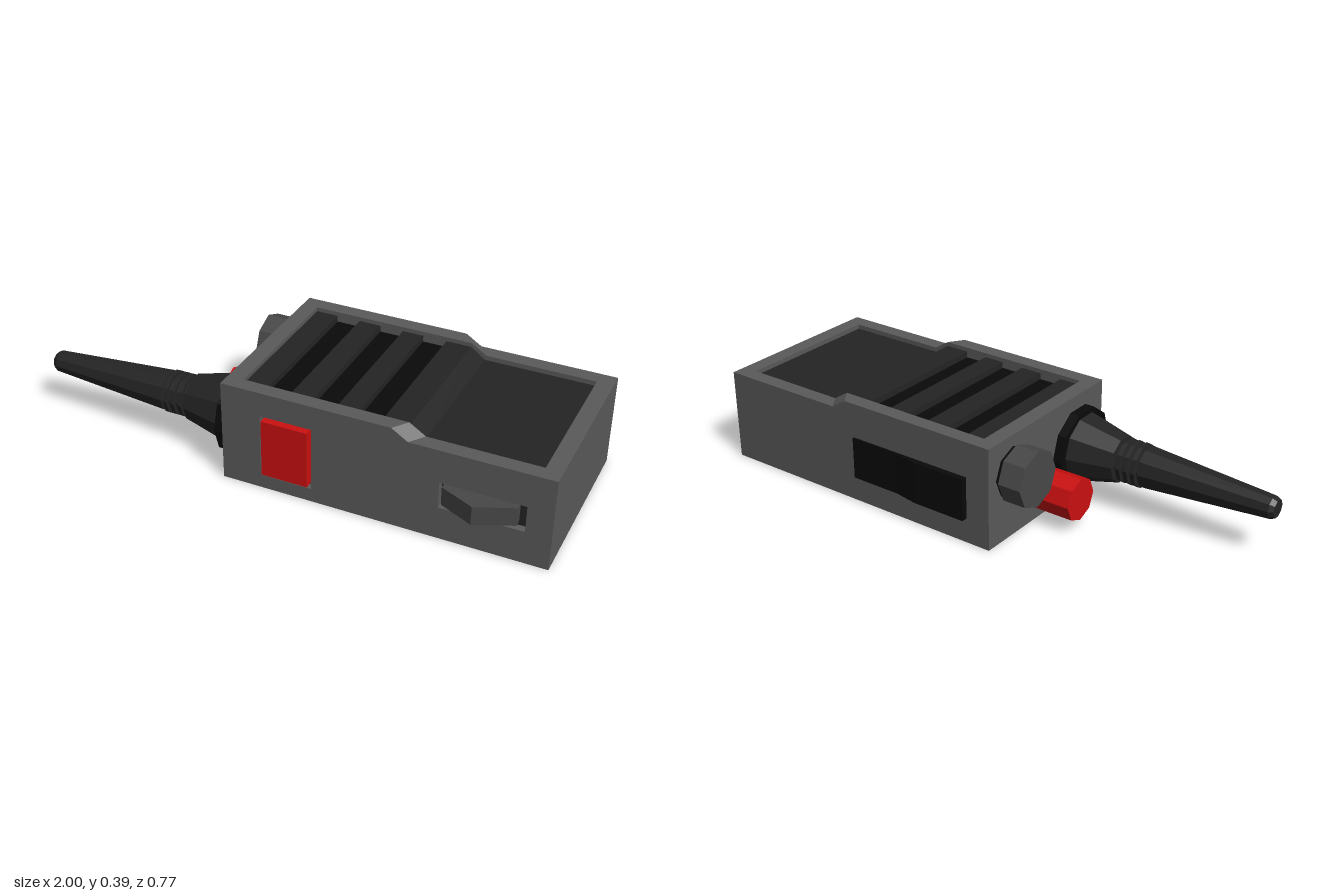
import * as THREE from 'three';

const mat = (color) => new THREE.MeshStandardMaterial({ color, flatShading: true });
const GREY = mat(0x5a5a5a), DARK = mat(0x242424), BLACK = mat(0x0a0a0a), RED = mat(0xcc1010), KNOB = mat(0x484848);

const shapeOf = (pts) => new THREE.Shape(pts.map(([x, y]) => new THREE.Vector2(x, y)));
const rectPath = (x0, x1, y0, y1) => new THREE.Path(
  [[x0, y0], [x0, y1], [x1, y1], [x1, y0]].map(([x, y]) => new THREE.Vector2(x, y)));

// Side profile extruded from z0 to z1
function slab(shape, z0, z1) {
  const g = new THREE.ExtrudeGeometry(shape, { depth: z1 - z0, bevelEnabled: false });
  return g.translate(0, 0, z0);
}

// Plan profile (x, z) extruded from y0 to y1
function plan(pts, y0, y1) {
  const g = new THREE.ExtrudeGeometry(shapeOf(pts), { depth: y1 - y0, bevelEnabled: false });
  return g.rotateX(Math.PI / 2).translate(0, y1, 0);
}

function box(x0, x1, y0, y1, z0, z1) {
  return new THREE.BoxGeometry(x1 - x0, y1 - y0, z1 - z0)
    .translate((x0 + x1) / 2, (y0 + y1) / 2, (z0 + z1) / 2);
}

// Turned part pointing to -x; profile is [radius, distance out from the end wall]
function turned(profile, sides, y, z) {
  const g = new THREE.LatheGeometry(profile.map(([r, d]) => new THREE.Vector2(r, d)), sides);
  return g.rotateZ(Math.PI / 2).translate(-0.2, y, z);
}

export function createModel() {
  const root = new THREE.Group();
  const add = (name, geo, material, parent = root) => {
    const m = new THREE.Mesh(geo, material);
    m.name = name;
    parent.add(m);
    return m;
  };

  const zBack = -0.365, zFront = 0.328, inBack = -0.308, inFront = 0.271;
  const outline = [[-0.2, 0], [1, 0], [1, 0.35], [0.495, 0.35], [0.435, 0.388], [-0.2, 0.388]];

  // Casing: two side walls whose step in the rim slants inward, plus the core between them
  const casing = new THREE.Group();
  casing.name = 'casing';
  root.add(casing);
  const slantStep = (g, innerZ) => {
    const p = g.attributes.position;
    for (let i = 0; i < p.count; i++) {
      const x = p.getX(i);
      if (Math.abs(p.getZ(i) - innerZ) < 1e-4 && x > 0.4 && x < 0.5 && p.getY(i) > 0.3) p.setX(i, x + 0.04);
    }
    g.computeVertexNormals();
    return g;
  };
  const frontShape = shapeOf(outline);
  frontShape.holes.push(rectPath(-0.05, 0.145, 0.052, 0.296), rectPath(0.61, 0.91, 0.125, 0.225));
  add('frontWall', slantStep(slab(frontShape, inFront, zFront), inFront), GREY, casing);
  add('backWall', slantStep(slab(shapeOf(outline), zBack, inBack), inBack), GREY, casing);
  add('core', slab(shapeOf([[-0.2, 0], [1, 0], [1, 0.35], [0.94, 0.35], [0.94, 0.3],
    [-0.14, 0.3], [-0.14, 0.388], [-0.2, 0.388]]), inBack, inFront), GREY, casing);

  // Recessed top panel with three grooves
  const grooves = [[-0.055, 0.035], [0.12, 0.21], [0.29, 0.38]];
  const top = [[-0.14, 0.3], [0.94, 0.3], [0.94, 0.332], [0.53, 0.332], [0.475, 0.372]];
  for (const [a, b] of [...grooves].reverse()) top.push([b, 0.372], [b, 0.345], [a, 0.345], [a, 0.372]);
  top.push([-0.14, 0.372]);
  add('topPanel', slab(shapeOf(top), inBack, inFront), DARK);
  grooves.forEach(([a, b], i) =>
    add('groove' + (i + 1), box(a, b, 0.34, 0.348, inBack, inFront), BLACK));

  // Front controls sitting in their recesses
  add('buttonRecess', box(-0.05, 0.145, 0.052, 0.296, 0.272, 0.3), DARK);
  add('talkButton', box(-0.04, 0.135, 0.064, 0.285, 0.29, 0.341), RED);
  add('leverRecess', box(0.61, 0.91, 0.125, 0.225, 0.272, 0.3), DARK);
  add('sideLever', plan([[0.62, 0.295], [0.88, 0.295], [0.88, 0.328], [0.745, 0.387], [0.62, 0.328]],
    0.14, 0.21), KNOB);

  // Back clip, tapering off toward one end
  add('backClip', plan([[-0.105, -0.36], [-0.105, -0.388], [0.105, -0.388], [0.2, -0.372],
    [0.4, -0.372], [0.4, -0.36]], 0.095, 0.255), BLACK);

  // Antenna: flange, flared base, ribbed neck and tapered whip
  add('antennaFlange', turned([[0, 0], [0.155, 0], [0.155, 0.035], [0, 0.035]], 10, 0.185, 0.17), BLACK);
  const whip = [[0, 0.03], [0.13, 0.03], [0.088, 0.2]];
  for (let i = 0; i < 3; i++) {
    const d = 0.2 + i * 0.03;
    whip.push([0.068, d + 0.002], [0.068, d + 0.013], [0.083, d + 0.014], [0.082, d + 0.029]);
  }
  whip.push([0.068, 0.291], [0.068, 0.298], [0.078, 0.3], [0.042, 0.783], [0.033, 0.8], [0, 0.8]);
  add('antenna', turned(whip, 10, 0.19, 0.17), DARK);

  // Two octagonal knobs on black collars
  const knob = (name, r, length, y, z, material) => {
    add(name + 'Collar', turned([[0, 0], [r * 0.9, 0], [r * 0.9, 0.02], [0, 0.02]], 8, y, z), BLACK);
    add(name, turned([[0, 0.016], [r, 0.016], [r, length], [0, length]], 8, y, z), material);
  };
  knob('channelKnob', 0.106, 0.105, 0.25, -0.228, KNOB);
  knob('volumeKnob', 0.08, 0.17, 0.118, -0.06, RED);

  return root;
}
